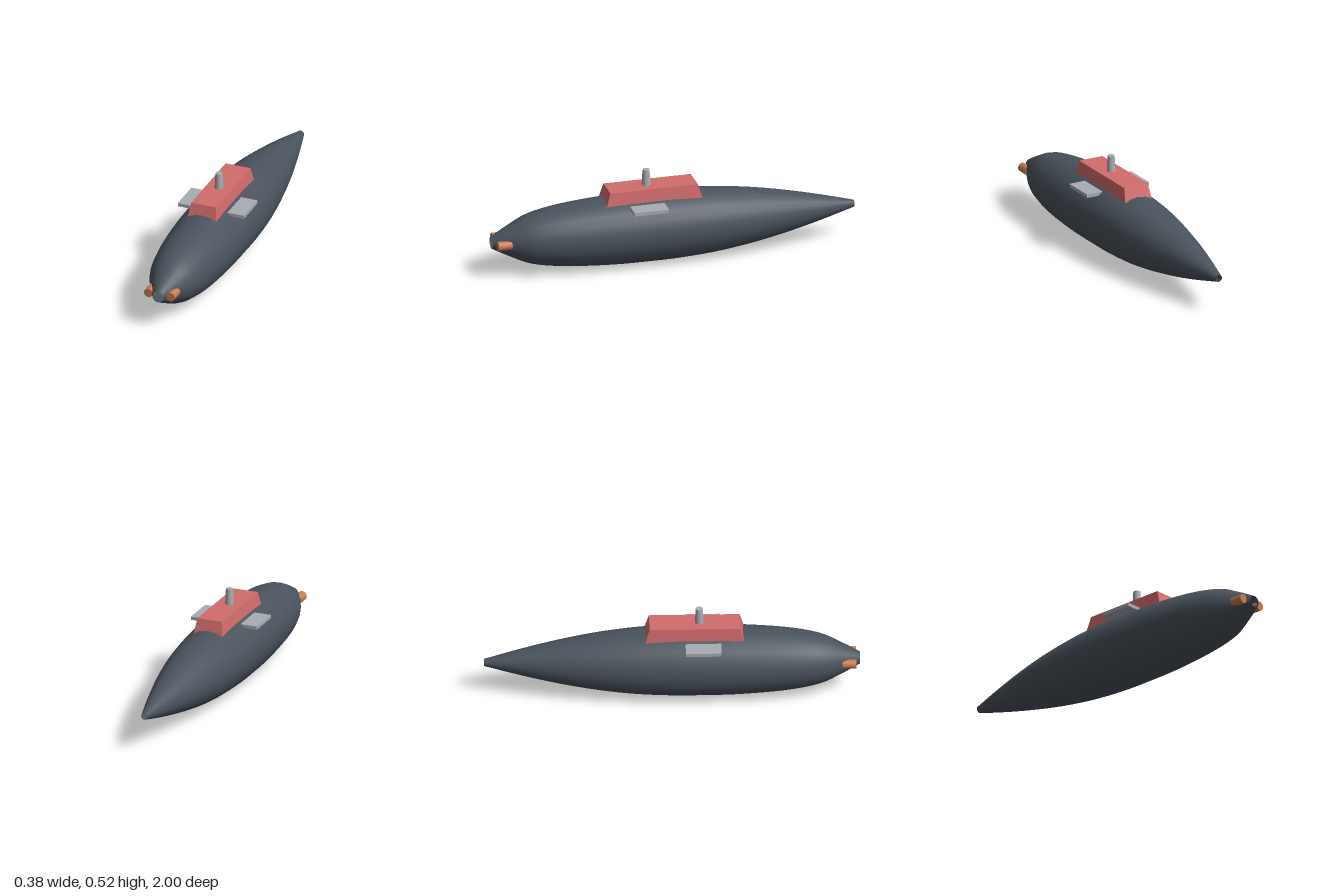
import * as THREE from 'three';

const mat = (name, color, extra = {}) => {
  const m = new THREE.MeshStandardMaterial({ color, ...extra });
  m.name = name;
  return m;
};

export function createModel() {
  const hullMat = mat('slate hull', 0x4a535d, { side: THREE.DoubleSide });
  const sailMat = mat('red sail', 0xd26c6c);
  const greyMat = mat('light grey', 0xa9aeb4);
  const orangeMat = mat('copper orange', 0xca7c50);

  const group = new THREE.Group();
  const axisY = 0.19;
  const add = (name, geometry, material, x = 0, y = 0, z = 0) => {
    const mesh = new THREE.Mesh(geometry, material);
    mesh.name = name;
    mesh.position.set(x, y, z);
    group.add(mesh);
    return mesh;
  };

  // Hull: open-ended spindle, profile given as (radius, z) from tail to nose
  const profile = new THREE.SplineCurve([
    [0.019, -1], [0.072, -0.8], [0.118, -0.6], [0.154, -0.4], [0.178, -0.2],
    [0.189, 0], [0.19, 0.15], [0.187, 0.35], [0.169, 0.6], [0.137, 0.78],
    [0.085, 0.9], [0.032, 1],
  ].map(([r, z]) => new THREE.Vector2(r, z)));
  const hull = new THREE.LatheGeometry(profile.getPoints(44), 24);
  hull.rotateX(Math.PI / 2);
  add('hull', hull, hullMat, 0, axisY);

  // Sail: box tapering towards its flat top
  const sail = new THREE.BoxGeometry(1, 0.1, 1);
  const p = sail.attributes.position;
  for (let i = 0; i < p.count; i++) {
    const top = p.getY(i) > 0;
    p.setX(i, p.getX(i) * (top ? 0.143 : 0.168));
    p.setZ(i, p.getZ(i) * (top ? 0.482 : 0.542));
  }
  sail.computeVertexNormals();
  add('sail', sail, sailMat, 0, 0.38, 0.12);

  // Periscope
  add('periscope', new THREE.CylinderGeometry(0.019, 0.024, 0.097, 16), greyMat, 0, 0.4685, 0.145);

  // Paired diving planes and bow tubes
  for (const side of [1, -1]) {
    const label = side > 0 ? 'left' : 'right';
    add(label + 'DivingPlane', new THREE.BoxGeometry(0.14, 0.019, 0.19), greyMat, side * 0.12, 0.3445, 0.165);
    const tube = new THREE.CylinderGeometry(0.025, 0.025, 0.076, 16);
    tube.rotateX(Math.PI / 2);
    add(label + 'BowTube', tube, orangeMat, side * 0.064, 0.192, 0.942);
  }
  return group;
}
